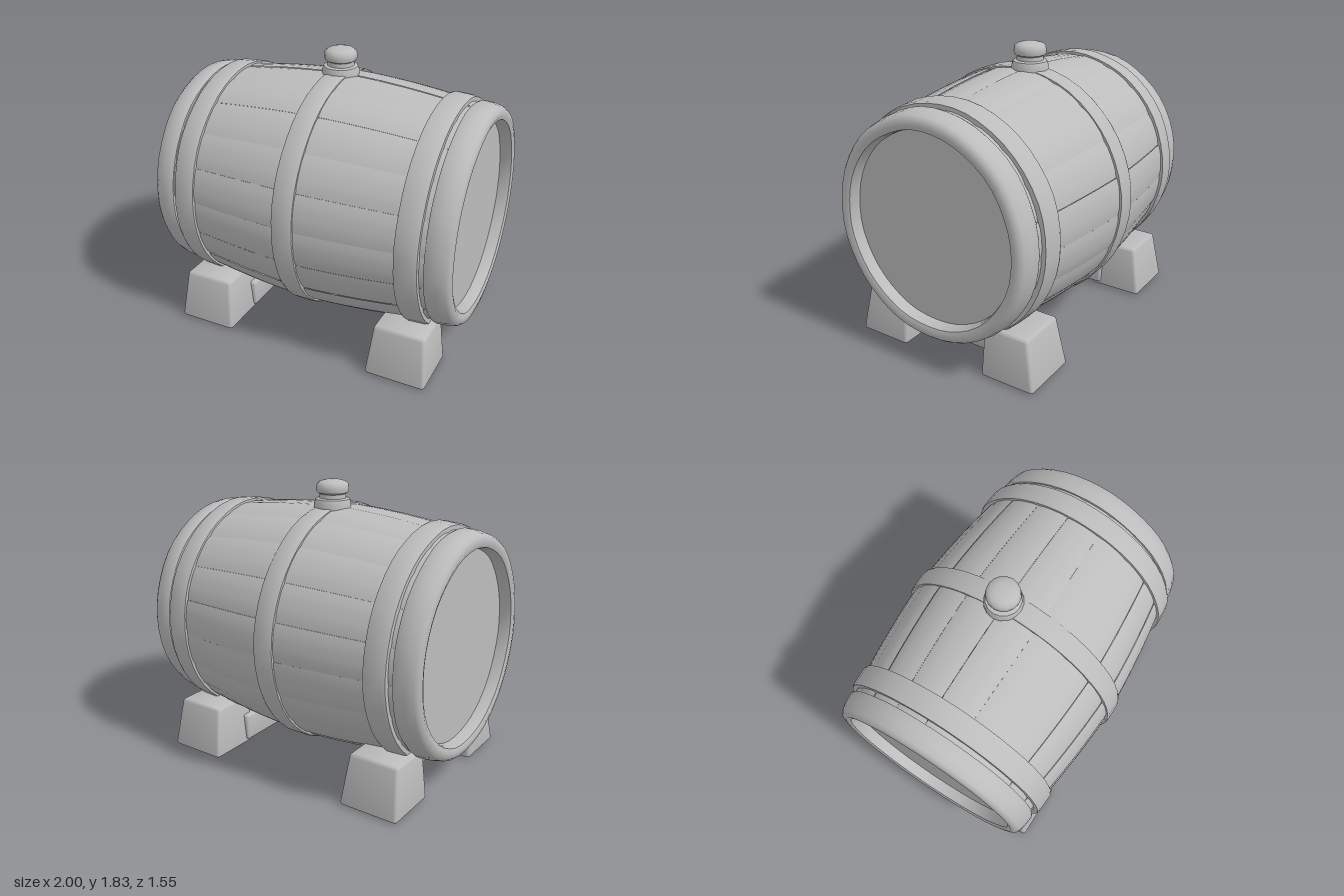
import * as THREE from 'three';
import { toCreasedNormals } from 'three/addons/utils/BufferGeometryUtils.js';
import { RoundedBoxGeometry } from 'three/addons/geometries/RoundedBoxGeometry.js';

const AXIS_Y = 0.905;
const STAVES = 20;

export function createModel() {
  const model = new THREE.Group();
  model.name = 'barrelOnStand';
  const grey = new THREE.MeshStandardMaterial({ color: 0xbcbcbc });
  grey.name = 'plain grey';

  let seed = 7;
  const rand = () => {
    seed = (seed * 16807) % 2147483647;
    return seed / 2147483647;
  };

  const add = (parent, name, geometry) => {
    const mesh = new THREE.Mesh(geometry, grey);
    mesh.name = name;
    parent.add(mesh);
    return mesh;
  };

  // Applies a rule to every vertex, then rebuilds the normals
  const reshape = (geometry, rule, crease = 0.7) => {
    const pos = geometry.attributes.position;
    const v = new THREE.Vector3();
    for (let i = 0; i < pos.count; i++) {
      rule(v.fromBufferAttribute(pos, i), i);
      pos.setXYZ(i, v.x, v.y, v.z);
    }
    return toCreasedNormals(geometry, crease);
  };

  // Turned ring from [radius, distance along axis] points
  const turned = (points, sides = 48, start = 0, sweep = Math.PI * 2) =>
    new THREE.LatheGeometry(points.map(([r, y]) => new THREE.Vector2(r, y)), sides, start, sweep);

  // Slightly oval hoop with a hand-made waviness
  const hoop = (points, oval, amount, phase) => reshape(turned(points), (v) => {
    const a = Math.atan2(v.z, v.x);
    const k = 1 + amount * (Math.sin(a * 7 + phase) + 0.6 * Math.sin(a * 12 + phase * 2));
    v.x *= k;
    v.z *= k * oval;
  });

  const barrel = new THREE.Group();
  barrel.name = 'barrel';
  barrel.rotation.z = -Math.PI / 2;
  barrel.position.y = AXIS_Y;
  model.add(barrel);

  // Staves: bulging boards with shallow seams and small height differences
  const bulge = (y) => 0.77 - 0.105 * Math.pow(Math.abs(y), 1.7);
  const staves = new THREE.Group();
  staves.name = 'staves';
  barrel.add(staves);
  const rows = 14, columns = 5, sweep = (Math.PI * 2) / STAVES;
  for (let s = 0; s < STAVES; s++) {
    const profile = Array.from({ length: rows + 1 }, (_, i) => {
      const y = -0.95 + (1.9 * i) / rows;
      return [bulge(y), y];
    });
    const lift = (rand() - 0.5) * 0.006;
    const tilt = (rand() - 0.5) * 0.012;
    const geometry = turned(profile, columns, s * sweep - 0.058, sweep);
    const board = reshape(geometry, (v, i) => {
      const column = Math.floor(i / (rows + 1));
      const edge = column === 0 || column === columns ? -0.008 : 0;
      const k = 1 + lift + tilt * (column / columns - 0.5) + edge;
      v.x *= k;
      v.z *= k * (0.98 - 0.018 * Math.abs(v.y));
    }, 0.9);
    add(staves, 'stave', board);
  }

  // Middle hoop
  add(barrel, 'middleHoop', hoop([
    [0.74, -0.08], [0.776, -0.08], [0.783, -0.065], [0.783, 0.04], [0.776, 0.055], [0.74, 0.055],
  ], 0.986, 0.0015, 1));

  // Each end: inner hoop, rounded rim hoop and a head set well inside the rim
  for (const side of [1, -1]) {
    const end = new THREE.Group();
    end.name = side > 0 ? 'leftEnd' : 'rightEnd';
    if (side < 0) end.rotation.z = Math.PI;
    barrel.add(end);

    add(end, 'innerHoop', hoop([
      [0.66, 0.675], [0.732, 0.675], [0.737, 0.69], [0.73, 0.8], [0.722, 0.815], [0.64, 0.815],
    ], 0.97, 0.002, 2 + side));

    add(end, 'rimHoop', hoop([
      [0.64, 0.845], [0.705, 0.845], [0.712, 0.86], [0.706, 0.92], [0.693, 0.97],
      [0.676, 0.99], [0.64, 0.998], [0.612, 0.987], [0.603, 0.955], [0.6, 0.9],
    ], 0.962, 0.0025, 4 + side));

    const head = add(end, 'head', new THREE.CircleGeometry(0.615, 48));
    head.rotation.x = -Math.PI / 2;
    head.scale.y = 0.965;
    head.position.y = 0.912;
  }

  // Bung with a collar, neck and domed knob
  const bung = add(model, 'bung', toCreasedNormals(turned([
    [0.118, 1.64], [0.118, 1.69], [0.108, 1.718], [0.086, 1.724], [0.084, 1.75], [0.1, 1.76],
    [0.104, 1.78], [0.1, 1.808], [0.082, 1.824], [0.045, 1.834], [0, 1.836],
  ], 16), 0.8));
  bung.position.set(-0.02, 0, -0.053);

  // Stand: tapered feet joined by a crossbeam under each end
  const lerp = THREE.MathUtils.lerp;
  for (const sx of [1, -1]) {
    const stand = new THREE.Group();
    stand.name = sx > 0 ? 'leftStand' : 'rightStand';
    model.add(stand);
    for (const sz of [1, -1]) {
      const foot = reshape(new RoundedBoxGeometry(1, 1, 1, 2, 0.06), (v) => {
        const t = v.y + 0.5;
        v.set(
          sx * 0.685 + v.x * lerp(0.4, 0.33, t),
          lerp(0.005, 0.335, t),
          sz * lerp(0.477, 0.45, t) + v.z * lerp(0.37, 0.3, t),
        );
      }, 0.9);
      add(stand, 'foot', foot);
    }
    // Beam with its outer lower edge cut back
    const beam = reshape(new RoundedBoxGeometry(0.27, 0.18, 0.74, 2, 0.015), (v) => {
      if (v.x * sx > 0 && v.y < 0) v.x -= sx * 0.06;
    }, 0.9);
    add(stand, 'crossbeam', beam).position.set(sx * 0.605, 0.12, 0);
  }

  return model;
}
